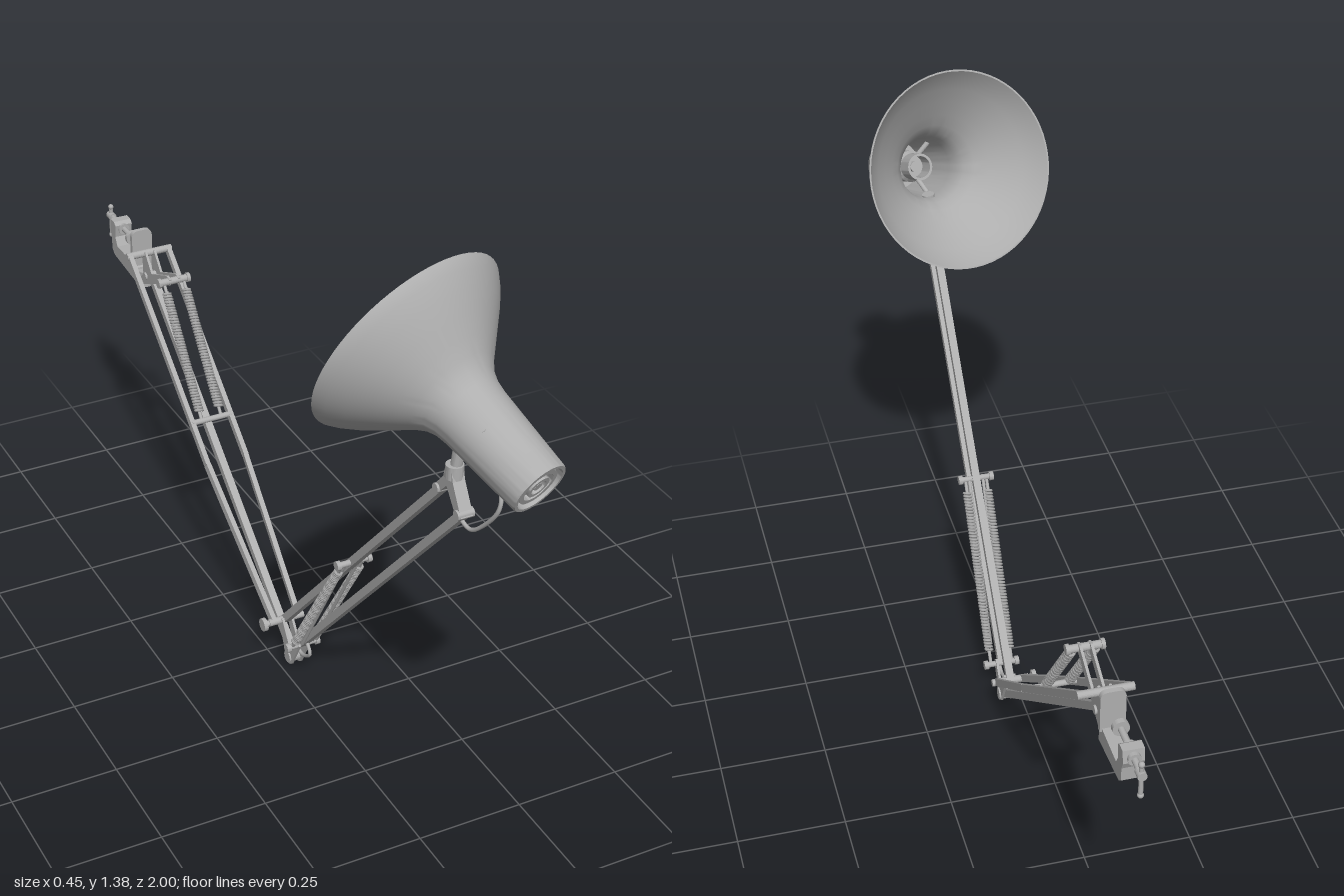
import * as THREE from 'three';
import { toCreasedNormals } from 'three/addons/utils/BufferGeometryUtils.js';

const V = (x, y, z) => new THREE.Vector3(x, y, z);
const UP = V(0, 1, 0);
const X = 0.037; // plane the arms swing in

export function createModel() {
  const root = new THREE.Group();
  root.name = 'clampLamp';
  const metal = new THREE.MeshStandardMaterial({ color: 0xaeaeae });
  metal.name = 'grey metal';

  const add = (name, geometry, parent = root) => {
    const mesh = new THREE.Mesh(geometry, metal);
    mesh.name = name;
    parent.add(mesh);
    return mesh;
  };
  // Places a y-aligned geometry between two points
  const span = (name, geometry, a, b, parent) => {
    const mesh = add(name, geometry, parent);
    mesh.position.copy(a).lerp(b, 0.5);
    mesh.quaternion.setFromUnitVectors(UP, b.clone().sub(a).normalize());
    return mesh;
  };
  const bar = (name, a, b, w = 0.018, d = w) =>
    span(name, new THREE.BoxGeometry(w, a.distanceTo(b), d), a, b);
  const rod = (name, a, b, r, r2 = r, parent = root) =>
    span(name, toCreasedNormals(new THREE.CylinderGeometry(r2, r, a.distanceTo(b), 20), 0.6), a, b, parent);
  // Crosswise pin through the arm
  const pin = (name, y, z, half, r) => rod(name, V(X - half, y, z), V(X + half, y, z), r);
  // Flat plate cut in the side plane; points are [z, y]
  const plate = (name, points, width, x = X) => {
    const shape = new THREE.Shape(points.map(p => new THREE.Vector2(p[0], p[1])));
    const g = new THREE.ExtrudeGeometry(shape, { depth: width, bevelEnabled: false });
    g.rotateY(-Math.PI / 2).translate(x + width / 2, 0, 0);
    return add(name, g);
  };
  const wire = (name, points, r, n = 40) =>
    add(name, new THREE.TubeGeometry(new THREE.CatmullRomCurve3(points), n, r, 8));
  // Coil spring with a straight hook at both ends
  const spring = (name, a, b, radius, turns) => {
    const len = a.distanceTo(b), coil = len * 0.86;
    const curve = new THREE.Curve();
    curve.getPoint = (t, out = new THREE.Vector3()) => {
      const w = t * turns * Math.PI * 2;
      return out.set(Math.cos(w) * radius, (t - 0.5) * coil, Math.sin(w) * radius);
    };
    curve.getPointAt = curve.getPoint;
    span(name, new THREE.TubeGeometry(curve, turns * 10, 0.0035, 5), a, b);
    rod(name + 'Hook', a, a.clone().lerp(b, 0.08), 0.004);
    rod(name + 'Hook', b, b.clone().lerp(a, 0.08), 0.004);
  };

  // Lamp shade: tubular neck, ringed end cap and flared bell with an inner wall
  const head = new THREE.Group();
  head.name = 'lampHead';
  head.position.set(0.094, 1.007, 0.974);
  head.quaternion.setFromUnitVectors(UP, V(-0.094, 0.16, -0.358).normalize());
  root.add(head);
  const lathe = (name, pts, crease = 0.5) => add(name, toCreasedNormals(
    new THREE.LatheGeometry(pts.map(p => new THREE.Vector2(p[0], p[1])), 64), crease), head);
  lathe('shade', [
    [0.053, 0.02], [0.055, 0], [0.062, 0], [0.064, 0.004], [0.069, 0.09], [0.075, 0.19],
    [0.079, 0.218], [0.088, 0.242], [0.105, 0.264], [0.130, 0.289], [0.160, 0.319],
    [0.192, 0.351], [0.217, 0.381], [0.231, 0.402], [0.232, 0.406], [0.228, 0.406],
    [0.213, 0.384], [0.188, 0.355], [0.156, 0.323], [0.126, 0.293], [0.101, 0.268],
    [0.083, 0.245], [0.074, 0.219], [0.070, 0.19], [0.060, 0.02], [0.053, 0.02]]);
  lathe('endCap', [
    [0, 0.006], [0.010, 0.006], [0.010, 0.016], [0.018, 0.016], [0.018, 0.004], [0.026, 0.004],
    [0.026, 0.018], [0.036, 0.018], [0.036, 0.005], [0.046, 0.005], [0.046, 0.018],
    [0.060, 0.018], [0.060, 0.03], [0, 0.03]]);
  lathe('bulbSocket', [
    [0.038, 0.028], [0.038, 0.12], [0.032, 0.13], [0.032, 0.175], [0.026, 0.175],
    [0.026, 0.13], [0.012, 0.13], [0.012, 0.145], [0, 0.145]]);
  for (let i = 0; i < 3; i++) {
    const a = i * Math.PI * 2 / 3, c = Math.cos(a), s = Math.sin(a);
    rod('socketStay', V(c * 0.03, 0.12, s * 0.03), V(c * 0.07, 0.14, s * 0.07), 0.006, 0.006, head);
  }

  // Swivel and forked bracket under the shade
  rod('shadeSwivel', V(X, 0.93, 0.757), V(0.047, 1.03, 0.765), 0.011, 0.015);
  rod('swivelCollar', V(X, 0.925, 0.757), V(X, 0.955, 0.757), 0.019);
  plate('headBracket', [[0.768, 0.95], [0.745, 0.95], [0.738, 0.92], [0.708, 0.885],
    [0.718, 0.868], [0.752, 0.905], [0.796, 0.85], [0.812, 0.862], [0.775, 0.925]], 0.028);
  pin('headPin', 0.864, 0.80, 0.019, 0.011);
  pin('headPin', 0.88, 0.717, 0.019, 0.011);

  // Upper arm: two parallel bars with a pair of springs
  bar('upperArmFrontBar', V(X, 0.864, 0.80), V(X, 0.083, 0.112));
  bar('upperArmRearBar', V(X, 0.88, 0.717), V(X, 0.097, 0.025));
  pin('upperSpringPin', 0.468, 0.353, 0.042, 0.007);
  pin('lowerSpringPin', 0.08, 0.112, 0.042, 0.007);
  for (const s of [-1, 1]) {
    const x = X + s * 0.026;
    spring('upperSpring', V(x, 0.468, 0.353), V(x, 0.08, 0.112), 0.008, 52);
    rod('springGuide', V(X + s * 0.017, 0.466, 0.35), V(X + s * 0.017, 0.115, 0.15), 0.004);
    for (const [y, z] of [[0.468, 0.353], [0.08, 0.112]])
      rod('springNut', V(X + s * 0.033, y, z), V(X + s * 0.043, y, z), 0.011);
  }

  // Elbow: V-shaped plates, pins and tightening knob
  for (const s of [-1, 1])
    plate('elbowPlate', [[0.124, 0.083], [0.11, 0.096], [0.072, 0.052], [0.034, 0.107],
      [0.016, 0.095], [0.06, 0.006], [0.072, 0], [0.084, 0.006]], 0.006, X + s * 0.012);
  pin('elbowPin', 0.02, 0.07, 0.019, 0.015);
  pin('elbowCrossRod', 0.097, 0.025, 0.045, 0.009);
  rod('elbowKnob', V(-0.026, 0.097, 0.025), V(-0.016, 0.097, 0.025), 0.016);
  rod('elbowKnobStem', V(-0.018, 0.097, 0.025), V(0.002, 0.097, 0.025), 0.007);

  // Lower arm: bent outer pair above one centre bar
  const rise = z => 0.097 + (0.025 - z) * 0.803;
  for (const s of [-1, 1]) {
    const top = V(X + s * 0.052, rise(-0.748), -0.748);
    const bend = V(X + s * 0.051, rise(-0.30), -0.30);
    const end = V(X + s * 0.032, 0.097, 0.025);
    bar('lowerArmOuterBar', top, bend, 0.012, 0.017);
    bar('lowerArmOuterBar', bend, end, 0.012, 0.017);
    // Rear springs between the wall bracket and the outer bars
    spring('rearSpring', V(X + s * 0.026, 0.71, -0.598), V(X + s * 0.026, 0.43, -0.385), 0.009, 42);
    rod('rearSpringNut', V(X + s * 0.034, 0.71, -0.598), V(X + s * 0.042, 0.71, -0.598), 0.012);
  }
  bar('lowerArmCentreBar', V(X, 0.025, 0.062), V(X, 0.665, -0.735));
  pin('topCrossRod', rise(-0.748), -0.748, 0.06, 0.009);
  pin('rearSpringUpperPin', 0.71, -0.598, 0.038, 0.009);
  pin('rearSpringLowerPin', 0.43, -0.385, 0.052, 0.007);

  // Bracket joining arm and clamp
  for (const s of [-1, 1])
    plate('clampBracket', [[-0.59, 0.718], [-0.606, 0.722], [-0.70, 0.682], [-0.738, 0.725],
      [-0.756, 0.72], [-0.752, 0.66], [-0.778, 0.632], [-0.768, 0.622], [-0.70, 0.655],
      [-0.592, 0.702]], 0.006, X + s * 0.012);
  pin('bracketPin', 0.66, -0.735, 0.02, 0.01);
  rod('clampPivot', V(X, 0.615, -0.775), V(X, 0.655, -0.775), 0.017);

  // Screw clamp: body, fixed jaw, hooked jaw and T-handle screw
  plate('clampBody', [[-0.78, 0.622], [-0.785, 0.66], [-0.80, 0.668], [-0.90, 0.668],
    [-0.912, 0.69], [-0.908, 0.722], [-0.918, 0.73], [-0.94, 0.73], [-0.944, 0.70],
    [-0.936, 0.682], [-0.934, 0.648], [-0.92, 0.636]], 0.045);
  const jaw = new THREE.Shape();
  jaw.moveTo(-0.027, 0).lineTo(0.027, 0).lineTo(0.027, 0.085)
    .quadraticCurveTo(0.025, 0.1, 0.01, 0.1).lineTo(-0.01, 0.1)
    .quadraticCurveTo(-0.025, 0.1, -0.027, 0.085);
  add('fixedJaw', new THREE.ExtrudeGeometry(jaw, { depth: 0.012, bevelEnabled: false }))
    .position.set(X, 0.66, -0.802);
  rod('clampScrew', V(X, 0.711, -0.85), V(X, 0.711, -0.998), 0.007);
  rod('screwPad', V(X, 0.711, -0.846), V(X, 0.711, -0.858), 0.018);
  rod('screwBoss', V(X, 0.711, -0.905), V(X, 0.711, -0.95), 0.014);
  rod('screwHub', V(X, 0.711, -0.978), V(X, 0.711, -1.0), 0.01);
  rod('screwHandle', V(X, 0.655, -0.991), V(X, 0.738, -0.991), 0.005);
  for (const y of [0.657, 0.736]) {
    add('handleTip', new THREE.SphereGeometry(0.007, 12, 8)).position.set(X, y, -0.991);
  }

  // Cable: loop below the shade and a small slack loop at the elbow
  wire('headCable', [V(0.062, 0.985, 0.81), V(0.062, 0.972, 0.85), V(0.06, 0.955, 0.893),
    V(0.055, 0.925, 0.897), V(0.047, 0.87, 0.86), V(0.04, 0.838, 0.82), V(X, 0.845, 0.785)], 0.0045);
  wire('elbowCable', [V(X, 0.10, 0.125), V(X, 0.097, 0.14), V(X, 0.078, 0.152),
    V(X, 0.06, 0.135), V(X, 0.05, 0.11), V(X, 0.055, 0.085)], 0.0045, 30);

  return root;
}
